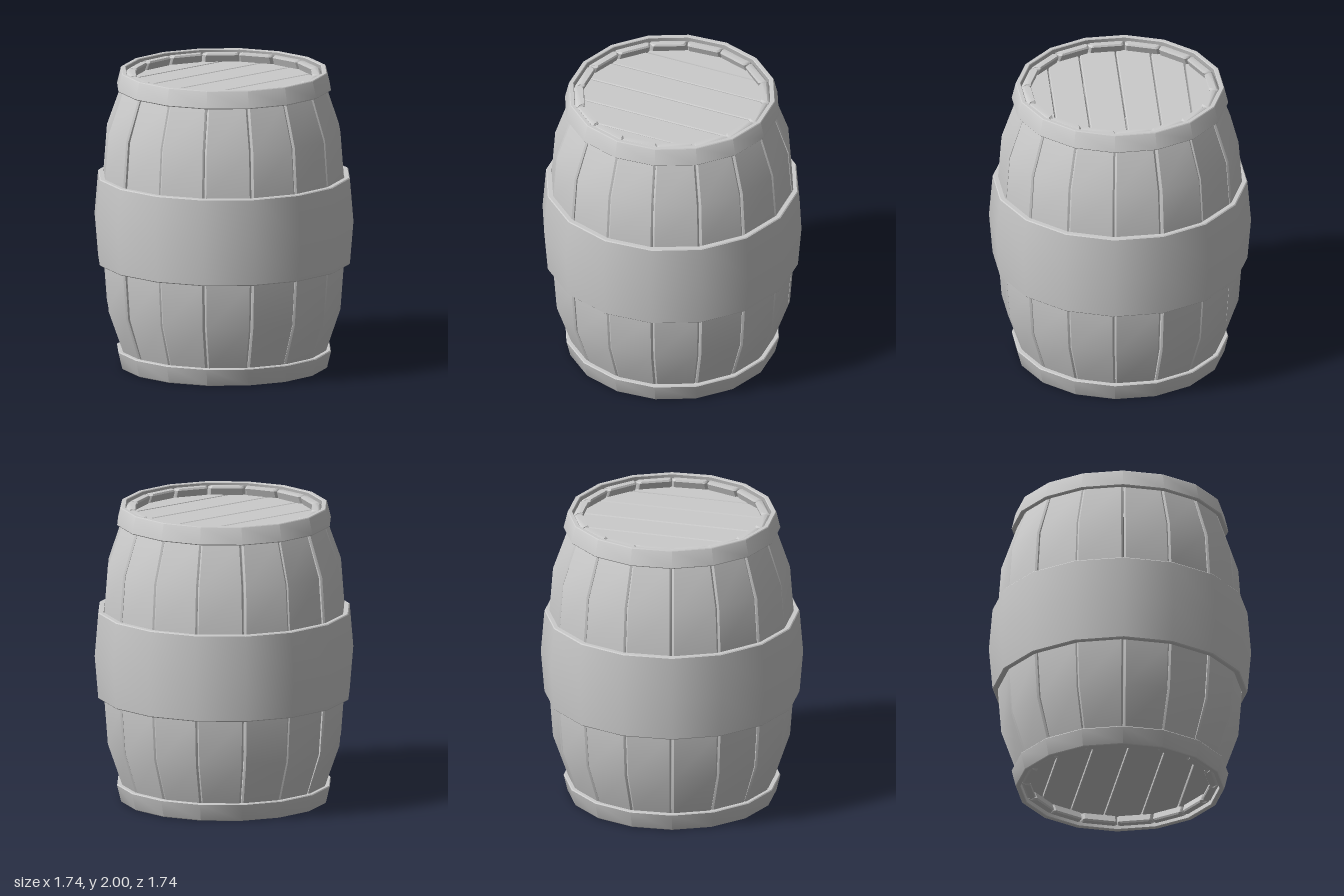
import * as THREE from 'three';
import { toCreasedNormals } from 'three/addons/utils/BufferGeometryUtils.js';

const SIDES = 16;
const STEP = (Math.PI * 2) / SIDES;
const material = new THREE.MeshStandardMaterial({ color: 0xcccccc });

// Small seeded generator in -1..1 for hand-made irregularity
function makeJitter(seed) {
  return () => {
    seed = (seed * 16807) % 2147483647;
    return (seed / 2147483647) * 2 - 1;
  };
}

function addMesh(parent, name, geometry, crease = 0.6) {
  const mesh = new THREE.Mesh(toCreasedNormals(geometry, crease), material);
  mesh.name = name;
  parent.add(mesh);
  return mesh;
}

// Closed ring with SIDES facets; profile runs up the outside, down the inside
function ring(profile) {
  const points = [...profile, profile[0]].map(([r, y]) => new THREE.Vector2(r, y));
  return new THREE.LatheGeometry(points, SIDES);
}

// Bevelled cross-section of a stave, outer side first, inset for the rounded ends
function staveSection(radius, inset) {
  const thick = 0.062, c = 0.011, gap = 0.003;
  const flat = Math.cos(STEP / 2), half = Math.sin(STEP / 2);
  const zo = radius * flat - inset, zi = (radius - thick) * flat + inset;
  const wo = radius * half - gap - inset, wi = (radius - thick) * half - gap - inset;
  return [
    [-wo + c, zo], [wo - c, zo], [wo, zo - c], [wi, zi + c],
    [wi - c, zi], [-wi + c, zi], [-wi, zi + c], [-wo, zo - c],
  ];
}

// Bowed stave lofted through its cross-sections, capped at both ends
function stave(offset) {
  const upper = [[1, 0.815, 0], [1.3, 0.81, 0], [1.6, 0.787, 0],
    [1.88, 0.69, 0], [1.972, 0.655, 0], [1.984, 0.65, 0.01]];
  const lower = upper.slice(1).reverse().map(([y, r, s]) => [2 - y, r, s]);
  const rows = [...lower, ...upper];
  const positions = [], index = [], n = 8;
  for (const [y, r, s] of rows) {
    // The ends stay tight under the rims
    const shift = offset * Math.min(1, (1 - Math.abs(y - 1)) * 4);
    for (const [x, z] of staveSection(r + shift, s)) positions.push(x, y, z);
  }
  for (let j = 0; j < rows.length - 1; j++) {
    for (let i = 0; i < n; i++) {
      const a = j * n + i, b = j * n + ((i + 1) % n);
      index.push(a, b, b + n, a, b + n, a + n);
    }
  }
  const top = (rows.length - 1) * n;
  for (let i = 1; i < n - 1; i++) {
    index.push(top, top + i, top + i + 1, 0, i + 1, i);
  }
  const geometry = new THREE.BufferGeometry();
  geometry.setAttribute('position', new THREE.Float32BufferAttribute(positions, 3));
  geometry.setIndex(index);
  return geometry;
}

// Strip of a disc between x0 and x1, with curved ends
function plank(x0, x1) {
  const R = 0.625, bevel = 0.006, steps = 6;
  const shape = new THREE.Shape();
  const edge = [];
  for (let i = 0; i <= steps; i++) {
    const x = x0 + ((x1 - x0) * i) / steps;
    edge.push([x, Math.sqrt(Math.max(R * R - x * x, 0.0004))]);
  }
  edge.forEach(([x, z], i) => (i ? shape.lineTo(x, -z) : shape.moveTo(x, -z)));
  edge.reverse().forEach(([x, z]) => shape.lineTo(x, z));
  shape.closePath();
  const geometry = new THREE.ExtrudeGeometry(shape, {
    depth: 0.038, bevelEnabled: true, bevelSize: bevel, bevelThickness: bevel,
    bevelOffset: -bevel, bevelSegments: 1,
  });
  geometry.translate(0, 0, -0.019);
  return geometry.rotateX(-Math.PI / 2);
}

export function createModel() {
  const barrel = new THREE.Group();
  barrel.name = 'barrel';

  // Staves around the body
  const staves = new THREE.Group();
  staves.name = 'staves';
  barrel.add(staves);
  const jitter = makeJitter(4217);
  for (let i = 0; i < SIDES; i++) {
    const mesh = addMesh(staves, 'stave', stave(jitter() * 0.007));
    mesh.rotation.y = (i + 0.5) * STEP + jitter() * 0.004;
  }

  // Wide middle band
  addMesh(barrel, 'middleBand', ring([
    [0.81, 0.708], [0.84, 0.708], [0.846, 0.714], [0.87, 1],
    [0.846, 1.289], [0.84, 1.295], [0.81, 1.295], [0.825, 1],
  ]));

  // Rims at both ends, mirrored
  const rim = [[0.685, 1.88], [0.714, 1.88], [0.719, 1.886],
    [0.693, 1.995], [0.688, 2], [0.664, 2], [0.66, 1.995]];
  addMesh(barrel, 'topRim', ring(rim));
  addMesh(barrel, 'bottomRim', ring(rim.map(([r, y]) => [r, 2 - y]).reverse()));

  // Planked heads, recessed inside the stave ends
  const seams = [-0.618, -0.46, -0.245, -0.015, 0.23, 0.45, 0.618];
  for (const [name, y] of [['topHead', 1.9], ['bottomHead', 0.1]]) {
    const head = new THREE.Group();
    head.name = name;
    head.position.y = y;
    head.rotation.y = 0.12;
    for (let i = 0; i < seams.length - 1; i++) {
      addMesh(head, 'headPlank', plank(seams[i] + 0.004, seams[i + 1] - 0.004));
    }
    barrel.add(head);
  }
  return barrel;
}
